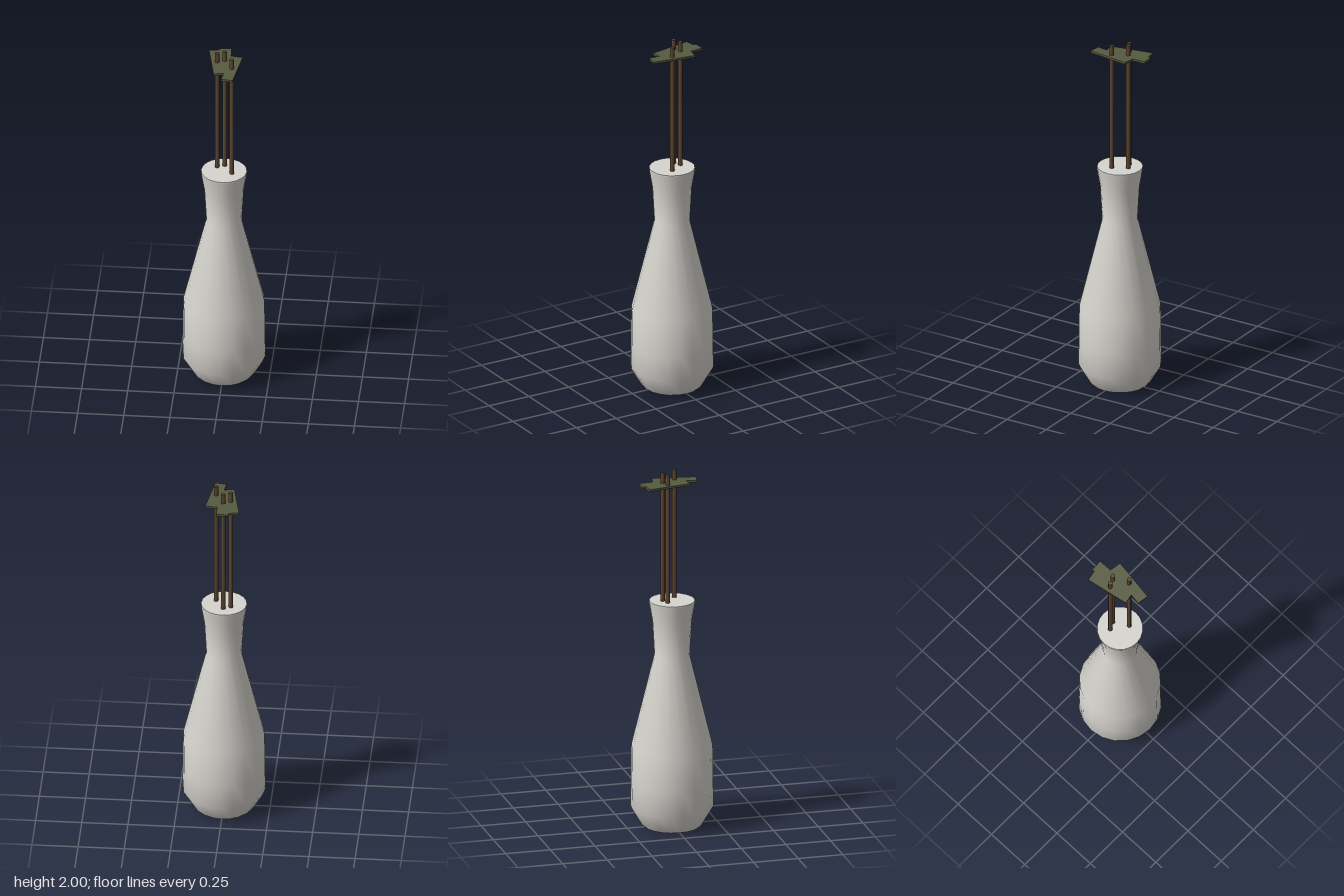
import * as THREE from 'three';

const SIDES = 20;
const RIM_Y = 1.275;

function material(name, color) {
  const m = new THREE.MeshStandardMaterial({ color });
  m.name = name;
  return m;
}

function addMesh(parent, name, geometry, mat) {
  const mesh = new THREE.Mesh(geometry, mat);
  mesh.name = name;
  parent.add(mesh);
  return mesh;
}

export function createModel() {
  const ceramic = material('pale ceramic', 0xd6d4ce);
  const wood = material('brown stem', 0x5c4632);
  const green = material('dull green leaf', 0x565b40);

  const model = new THREE.Group();
  model.name = 'vaseWithStems';

  // Vase: tapered foot, wide belly, narrow neck and flared rim
  const vase = new THREE.Group();
  vase.name = 'vase';
  model.add(vase);
  const profile = [
    [0.155, 0], [0.167, 0.012], [0.225, 0.11], [0.222, 0.25], [0.22, 0.455],
    [0.096, 0.965], [0.107, 1.16], [0.125, 1.265], [0.124, RIM_Y],
  ].map(([r, y]) => new THREE.Vector2(r, y));
  addMesh(vase, 'vaseBody', new THREE.LatheGeometry(profile, SIDES), ceramic);

  // Flat discs closing the mouth and the foot, their corners aligned with the body
  const top = addMesh(vase, 'vaseTop', new THREE.CircleGeometry(0.124, SIDES), ceramic);
  top.rotation.x = -Math.PI / 2;
  top.position.y = RIM_Y;
  const base = addMesh(vase, 'vaseBase', new THREE.CircleGeometry(0.155, SIDES), ceramic);
  base.rotation.x = Math.PI / 2;

  // Three upright stems, each through the middle of a flat leaf: x, z, leaf turn
  const stemBottom = RIM_Y - 0.02;
  const stemHeight = 2 - stemBottom;
  [[-0.04, -0.034, 0.186], [0, -0.053, 0.041], [0.045, 0.025, -0.141]].forEach(([x, z, turn], i) => {
    const sprig = new THREE.Group();
    sprig.name = `sprig${i + 1}`;
    sprig.position.set(x, 0, z);
    model.add(sprig);

    const stem = addMesh(sprig, 'stem', new THREE.CylinderGeometry(0.0125, 0.0125, stemHeight, 12), wood);
    stem.position.y = stemBottom + stemHeight / 2;

    const leaf = addMesh(sprig, 'leaf', new THREE.BoxGeometry(0.064, 0.012, 0.242), green);
    leaf.position.y = 1.938;
    leaf.rotation.y = turn;
  });

  return model;
}
